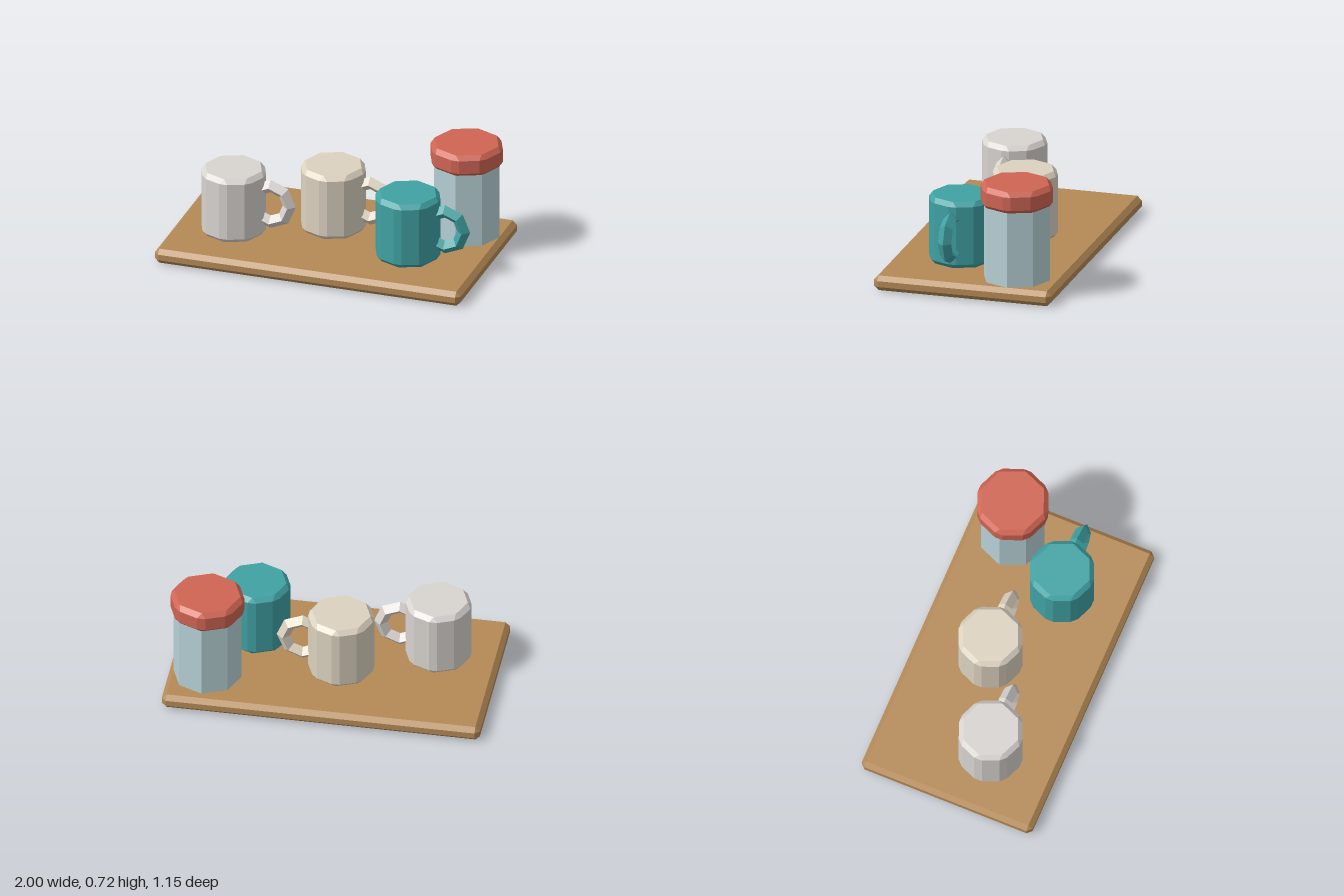
import * as THREE from 'three';

const BOARD_TOP = 0.096;

function part(name, geometry, color) {
  const material = new THREE.MeshStandardMaterial({ color, flatShading: true });
  const mesh = new THREE.Mesh(geometry, material);
  mesh.name = name;
  return mesh;
}

// Corners of a regular polygon, counterclockwise seen from above, as (x, z)
function polygon(radius, sides) {
  return Array.from({ length: sides }, (_, i) => {
    const a = (i / sides) * Math.PI * 2;
    return new THREE.Vector2(Math.sin(a) * radius, Math.cos(a) * radius);
  });
}

// Upright prism on a convex outline, with every edge chamfered by w
function chamferedPrism(corners, y0, y1, w) {
  const n = corners.length;
  const inner = [];
  const outer = [];
  corners.forEach((c, i) => {
    const toPrev = corners[(i + n - 1) % n].clone().sub(c).normalize();
    const toNext = corners[(i + 1) % n].clone().sub(c).normalize();
    const sine = Math.abs(toPrev.cross(toNext));
    const inset = c.clone().addScaledVector(toPrev.clone().add(toNext), w / sine);
    inner.push(inset, inset);
    outer.push(c.clone().addScaledVector(toPrev, w), c.clone().addScaledVector(toNext, w));
  });
  const ring = (pts, y) => pts.map((p) => new THREE.Vector3(p.x, y, p.y));
  const rings = [ring(inner, y0), ring(outer, y0 + w), ring(outer, y1 - w), ring(inner, y1)];
  const positions = [];
  const triangle = (a, b, c) => {
    if (a.equals(b) || b.equals(c) || c.equals(a)) return;
    for (const p of [a, b, c]) positions.push(p.x, p.y, p.z);
  };
  const m = 2 * n;
  for (let i = 0; i < m; i++) {
    const j = (i + 1) % m;
    for (let k = 0; k < 3; k++) {
      const low = rings[k];
      const high = rings[k + 1];
      triangle(low[i], low[j], high[j]);
      triangle(low[i], high[j], high[i]);
    }
    // caps
    triangle(rings[3][0], rings[3][i], rings[3][j]);
    triangle(rings[0][0], rings[0][j], rings[0][i]);
  }
  const geometry = new THREE.BufferGeometry();
  geometry.setAttribute('position', new THREE.Float32BufferAttribute(positions, 3));
  geometry.computeVertexNormals();
  return geometry;
}

function createMug(name, color, x, z) {
  const mug = new THREE.Group();
  mug.name = name;
  mug.position.set(x, BOARD_TOP, z);
  mug.add(part('mugBody', chamferedPrism(polygon(0.214, 8), 0, 0.431, 0.028), color));
  // Diamond-section ring, partly sunk into the mug wall
  const handle = part('mugHandle', new THREE.TorusGeometry(0.122, 0.043, 4, 8), color);
  handle.position.set(0.241, 0.217, 0);
  mug.add(handle);
  return mug;
}

function createJar(x, z) {
  const jar = new THREE.Group();
  jar.name = 'jar';
  jar.position.set(x, BOARD_TOP, z);
  const body = part('jarBody', new THREE.CylinderGeometry(0.214, 0.214, 0.49, 8), 0xb8d2d7);
  body.position.y = 0.245;
  const lid = part('jarLid', chamferedPrism(polygon(0.238, 8), 0.479, 0.621, 0.028), 0xcf6553);
  jar.add(body, lid);
  return jar;
}

export function createModel() {
  const model = new THREE.Group();
  model.name = 'mugTray';

  // Board
  const outline = [[-1, 0.573], [1, 0.573], [1, -0.573], [-1, -0.573]]
    .map(([x, z]) => new THREE.Vector2(x, z));
  model.add(part('board', chamferedPrism(outline, 0, BOARD_TOP, 0.029), 0xb58a56));

  // Mugs
  model.add(createMug('greyMug', 0xd8d4d0, -0.62, 0.144));
  model.add(createMug('creamMug', 0xdcd2c0, -0.05, -0.097));
  model.add(createMug('tealMug', 0x40a2a4, 0.52, 0.144));

  // Lidded jar
  model.add(createJar(0.758, -0.286));
  return model;
}
